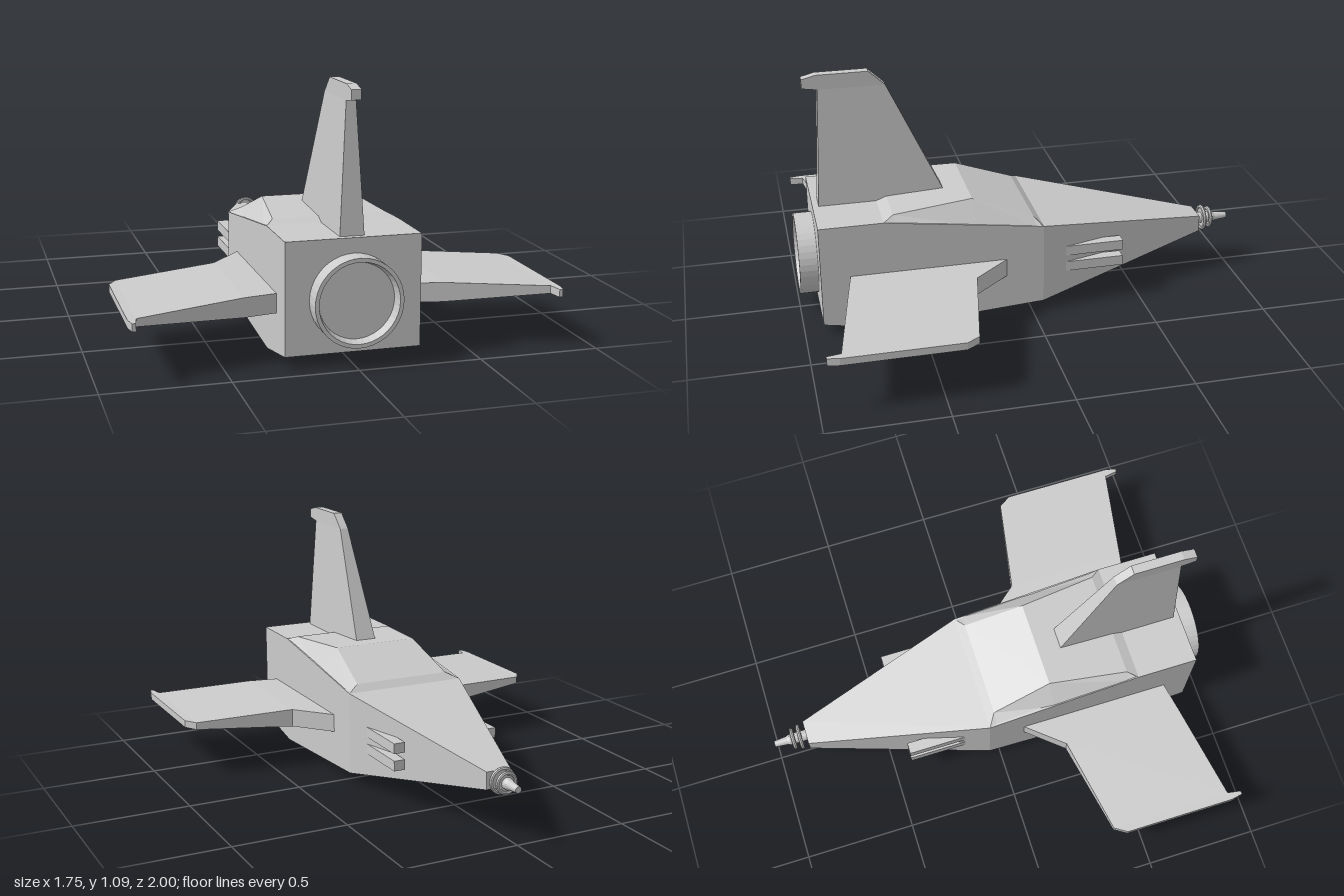
import * as THREE from 'three';

const material = new THREE.MeshStandardMaterial({ color: 0xcccccc, flatShading: true });

function add(parent, name, geometry, x = 0, y = 0, z = 0) {
  const mesh = new THREE.Mesh(geometry, material);
  mesh.name = name;
  mesh.position.set(x, y, z);
  parent.add(mesh);
  return mesh;
}

// Four-sided loft along z; section = [z, bottomY, topY, bottomHalfWidth, topHalfWidth]
function loft(sections) {
  const pos = [], index = [];
  for (const [z, y0, y1, b, t] of sections) pos.push(-b, y0, z, b, y0, z, t, y1, z, -t, y1, z);
  for (let s = 0; s < sections.length - 1; s++) {
    for (let i = 0; i < 4; i++) {
      const a = s * 4 + i, b = s * 4 + (i + 1) % 4;
      index.push(a, b, b + 4, a, b + 4, a + 4);
    }
  }
  const e = (sections.length - 1) * 4;
  index.push(0, 2, 1, 0, 3, 2, e, e + 1, e + 2, e, e + 2, e + 3);
  const g = new THREE.BufferGeometry();
  g.setAttribute('position', new THREE.Float32BufferAttribute(pos, 3));
  g.setIndex(index);
  const flat = g.toNonIndexed();
  flat.computeVertexNormals();
  return flat;
}

// Flat panel with outline points [span, z]; half thickness depends on span
function panel(points, half) {
  const shape = new THREE.Shape(points.map(([s, z]) => new THREE.Vector2(s, z)));
  const g = new THREE.ExtrudeGeometry(shape, { depth: 2, bevelEnabled: false });
  g.translate(0, 0, -1);
  const p = g.attributes.position;
  for (let i = 0; i < p.count; i++) p.setZ(i, p.getZ(i) * half(p.getX(i)));
  g.rotateX(Math.PI / 2); // span along x, chord along z, thickness along y
  g.computeVertexNormals();
  return g;
}

const taper = (s0, h0, s1, h1) => (s) =>
  THREE.MathUtils.lerp(h0, h1, THREE.MathUtils.clamp((s - s0) / (s1 - s0), 0, 1));

export function createModel() {
  const model = new THREE.Group();
  model.name = 'spacecraft';

  // Body with tapered nose
  add(model, 'fuselage', loft([
    [-0.85, 0.19, 0.265, 0.055, 0.055],
    [-0.05, 0.045, 0.41, 0.275, 0.275],
    [0.645, 0, 0.505, 0.275, 0.275],
    [0.92, 0.05, 0.505, 0.275, 0.275],
  ]));

  // Raised canopy
  add(model, 'canopy', loft([
    [-0.05, 0.405, 0.41, 0.275, 0.275],
    [-0.015, 0.41, 0.438, 0.275, 0.22],
    [0.25, 0.445, 0.54, 0.275, 0.195],
    [0.6, 0.495, 0.522, 0.275, 0.24],
    [0.645, 0.5, 0.505, 0.275, 0.275],
  ]));

  // Upright tail fin and its hooked tip
  const fin = new THREE.Group();
  fin.name = 'tailFin';
  fin.rotation.z = Math.PI / 2;
  const finHalf = taper(0.5, 0.05, 1.025, 0.02);
  add(fin, 'finBlade', panel([[0.5, 0.335], [1.025, 0.58], [1.025, 0.865], [0.5, 0.893]], finHalf));
  add(fin, 'finTip', panel([[1.025, 0.58], [1.09, 0.65], [1.09, 0.87], [1.075, 0.93],
    [1.035, 0.93], [1.025, 0.865]], finHalf));
  model.add(fin);

  // Wings, mirrored by a half turn about z
  const wingHalf = taper(0.41, 0.04, 0.84, 0.016);
  for (const side of [1, -1]) {
    const wing = new THREE.Group();
    wing.name = side > 0 ? 'leftWing' : 'rightWing';
    wing.position.y = 0.23;
    wing.rotation.z = side > 0 ? 0 : Math.PI;
    add(wing, 'wingRoot', panel([[0.25, 0.085], [0.275, 0.115], [0.41, 0.275], [0.41, 0.82],
      [0.275, 0.795], [0.25, 0.79]], wingHalf));
    add(wing, 'wingBlade', panel([[0.41, 0.275], [0.84, 0.355], [0.84, 0.9], [0.41, 0.82]], wingHalf));
    add(wing, 'wingTip', panel([[0.84, 0.355], [0.875, 0.41], [0.875, 0.91], [0.865, 0.96],
      [0.85, 0.96], [0.84, 0.9]], wingHalf));
    model.add(wing);

    // Paired gun barrels beside the nose
    for (const y of [0.186, 0.262]) {
      add(model, 'gunBarrel', new THREE.BoxGeometry(0.05, 0.045, 0.27), side * 0.22, y, -0.285);
    }
  }

  // Engine nozzle with a shallow recess
  const nozzle = new THREE.LatheGeometry([
    [0.178, 0.9], [0.178, 1], [0.162, 1], [0.152, 0.96], [0, 0.96],
  ].map(([r, z]) => new THREE.Vector2(r, z)), 40);
  nozzle.rotateX(Math.PI / 2);
  add(model, 'engineNozzle', nozzle, 0, 0.266, 0);

  // Nose probe and rings
  const probe = new THREE.LatheGeometry([
    [0, -1], [0.014, -1], [0.02, -0.94], [0.025, -0.93], [0.025, -0.84],
  ].map(([r, z]) => new THREE.Vector2(r, z)), 16);
  probe.rotateX(Math.PI / 2);
  add(model, 'noseProbe', probe, 0, 0.23, 0);
  for (const [r, z] of [[0.05, -0.88], [0.041, -0.912]]) {
    add(model, 'noseRing', new THREE.TorusGeometry(r, 0.009, 8, 24), 0, 0.23, z);
    add(model, 'ringHub', new THREE.CylinderGeometry(r, r, 0.006, 24).rotateX(Math.PI / 2), 0, 0.23, z);
  }
  return model;
}
